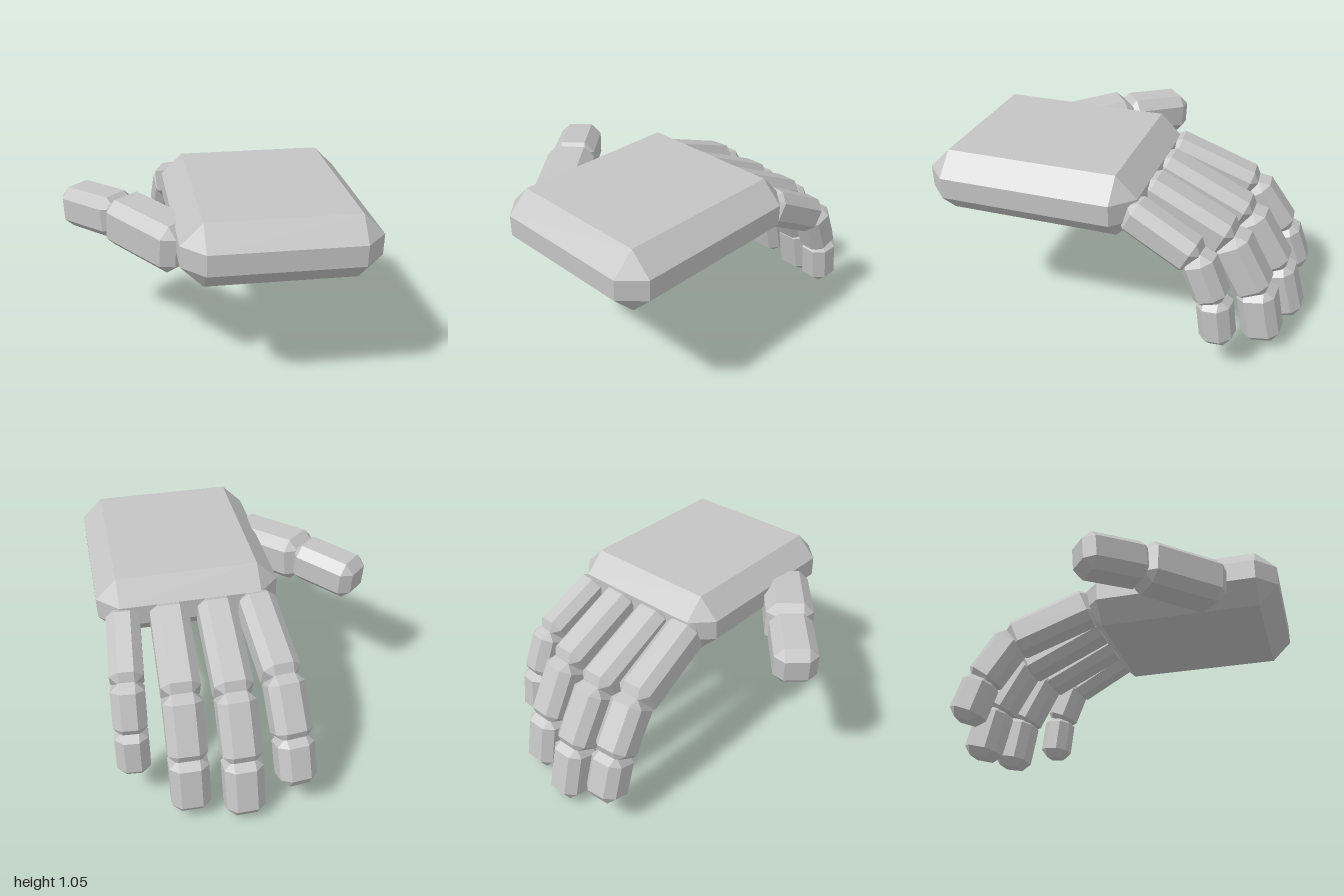
import * as THREE from 'three';
import { ConvexGeometry } from 'three/addons/geometries/ConvexGeometry.js';

const skin = new THREE.MeshStandardMaterial({ color: 0xc4c4c4 });
skin.name = 'light grey';

// Box with every edge cut at 45 degrees, centred on the origin
function chamferBox(w, h, d, b) {
  const points = [];
  const [x, y, z] = [w / 2, h / 2, d / 2];
  for (const i of [-1, 1]) for (const j of [-1, 1]) for (const k of [-1, 1]) {
    points.push(
      new THREE.Vector3(i * x, j * (y - b), k * (z - b)),
      new THREE.Vector3(i * (x - b), j * y, k * (z - b)),
      new THREE.Vector3(i * (x - b), j * (y - b), k * z));
  }
  return new ConvexGeometry(points);
}

// Finger bone running from one joint to the next, its width kept level
function bone(name, from, to, width, thickness, bevel, overlap) {
  const dir = to.clone().sub(from).normalize();
  const start = from.clone().addScaledVector(dir, -overlap);
  const side = new THREE.Vector3(0, 1, 0).cross(dir).normalize();
  const up = dir.clone().cross(side);
  const mesh = new THREE.Mesh(chamferBox(width, thickness, start.distanceTo(to), bevel), skin);
  mesh.name = name;
  mesh.quaternion.setFromRotationMatrix(new THREE.Matrix4().makeBasis(side, up, dir));
  mesh.position.copy(start).add(to).multiplyScalar(0.5);
  return mesh;
}

// Fingers: x at the knuckle, sideways splay, width, and joints as [z, y]
const fingers = [
  { name: 'indexFinger', x: -0.085, splay: -0.085, width: 0.21,
    joints: [[-0.123, 0.861], [-0.64, 0.652], [-0.821, 0.39], [-0.904, 0.155]] },
  { name: 'middleFinger', x: 0.147, splay: 0, width: 0.215,
    joints: [[-0.123, 0.861], [-0.665, 0.605], [-0.845, 0.305], [-0.92, 0.016]] },
  { name: 'ringFinger', x: 0.413, splay: 0.03, width: 0.215,
    joints: [[-0.12, 0.861], [-0.625, 0.615], [-0.785, 0.32], [-0.84, 0.036]] },
  { name: 'littleFinger', x: 0.67, splay: 0.09, width: 0.185,
    joints: [[-0.11, 0.861], [-0.513, 0.65], [-0.61, 0.41], [-0.64, 0.166]] },
];
const boneNames = ['lowerBone', 'middleBone', 'tipBone'];

export function createModel() {
  const hand = new THREE.Group();
  hand.name = 'hand';

  // Palm
  const palm = new THREE.Mesh(chamferBox(1.03, 0.35, 1.18, 0.117), skin);
  palm.name = 'palm';
  palm.position.set(0.285, 0.873, 0.41);
  hand.add(palm);

  // Four curled fingers
  for (const f of fingers) {
    const finger = new THREE.Group();
    finger.name = f.name;
    const p = f.joints.map(([z, y]) => new THREE.Vector3(f.x + f.splay * (-z - 0.18), y, z));
    boneNames.forEach((name, i) => {
      const thickness = f.width + [0.015, 0, -0.005][i];
      finger.add(bone(name, p[i], p[i + 1], f.width, thickness, 0.05, i ? 0.045 : 0));
    });
    hand.add(finger);
  }

  // Thumb
  const thumb = new THREE.Group();
  thumb.name = 'thumb';
  const base = new THREE.Vector3(-0.17, 0.802, 0.667);
  const knuckle = new THREE.Vector3(-0.5, 0.836, 0.265);
  const tip = new THREE.Vector3(-0.746, 0.812, -0.01);
  thumb.add(bone('lowerBone', base, knuckle, 0.275, 0.27, 0.058, 0));
  thumb.add(bone('tipBone', knuckle, tip, 0.245, 0.235, 0.055, 0.045));
  hand.add(thumb);

  return hand;
}
